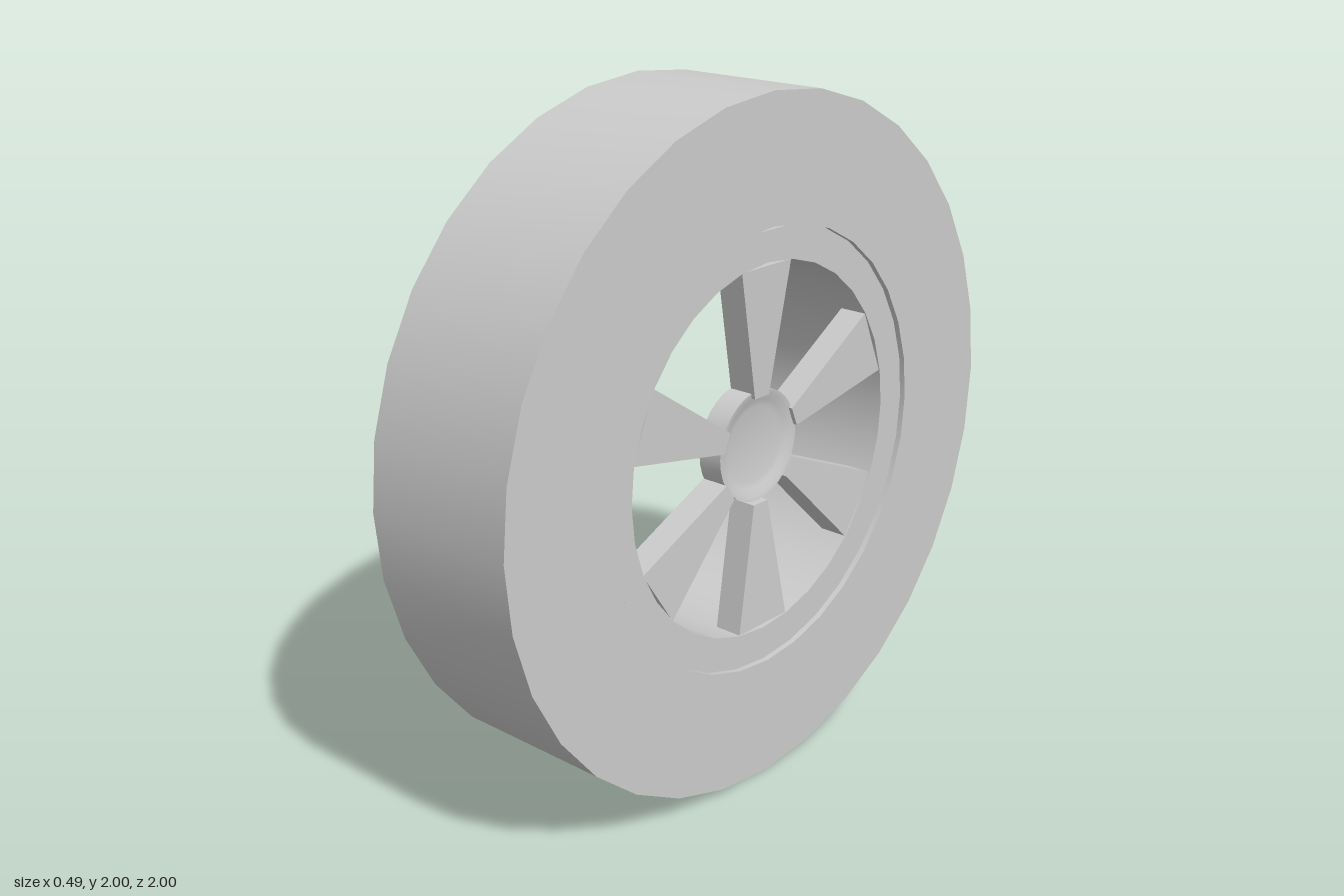
import * as THREE from 'three';
import { toCreasedNormals } from 'three/addons/utils/BufferGeometryUtils.js';

const SIDES = 32;
const STEP = (Math.PI * 2) / SIDES;
// Corner numbers of the 32-sided rim where the six spokes sit
const SPOKES = [8, 13, 18, 24, 30, 3];

// Corners of a regular polygon, leaving out the listed ones
function ringPoints(radius, skip = []) {
  const points = [];
  for (let i = 0; i < SIDES; i++) {
    if (skip.includes(i)) continue;
    points.push(new THREE.Vector2(radius * Math.cos(i * STEP), radius * Math.sin(i * STEP)));
  }
  return points;
}

// Extrude a shape sideways between x0 and x1
function extrudeX(shape, x0, x1) {
  const geo = new THREE.ExtrudeGeometry(shape, { depth: x1 - x0, bevelEnabled: false });
  geo.translate(0, 0, x0);
  geo.rotateY(Math.PI / 2);
  return geo;
}

function ring(outer, inner, x0, x1) {
  const shape = new THREE.Shape(outer);
  shape.holes.push(new THREE.Path(inner));
  return toCreasedNormals(extrudeX(shape, x0, x1), 0.6);
}

export function createModel() {
  const group = new THREE.Group();
  const material = new THREE.MeshStandardMaterial({ color: 0xcccccc });

  function add(geo, name, y = 1) {
    const mesh = new THREE.Mesh(geo, material);
    mesh.name = name;
    mesh.position.y = y;
    group.add(mesh);
    return mesh;
  }

  // Tyre: wide smooth ring with flat side walls
  add(ring(ringPoints(1), ringPoints(0.64), -0.243, 0.243), 'tyre');

  // Rim: slightly recessed, with three flattened outer corners
  add(ring(ringPoints(0.64, [8, 13, 18]), ringPoints(0.54), -0.215, 0.226), 'rim');

  // Spokes: wedges widening outwards, leaning in towards the hub
  const rIn = 0.157, rOut = 0.53;
  const wedge = new THREE.Shape([
    new THREE.Vector2(rIn, -0.03),
    new THREE.Vector2(rOut, -0.103),
    new THREE.Vector2(rOut, 0.103),
    new THREE.Vector2(rIn, 0.03),
  ]);
  const spokeGeo = extrudeX(wedge, 0.138, 0.223);
  const pos = spokeGeo.attributes.position;
  for (let i = 0; i < pos.count; i++) {
    const inward = (rOut + pos.getZ(i)) / (rOut - rIn);
    pos.setX(i, pos.getX(i) - 0.012 * inward);
  }
  spokeGeo.computeVertexNormals();
  SPOKES.forEach((corner, i) => {
    add(spokeGeo, `spoke${i + 1}`).rotation.x = -corner * STEP;
  });

  // Hub: short drum with a shallow dish in its outer face
  const profile = [
    [0, 0.125], [0.163, 0.125], [0.163, 0.2], [0.15, 0.198],
    [0.13, 0.189], [0.11, 0.184], [0, 0.184],
  ].map(([r, x]) => new THREE.Vector2(r, x));
  const hubGeo = toCreasedNormals(new THREE.LatheGeometry(profile, SIDES), 0.6);
  hubGeo.rotateZ(-Math.PI / 2);
  add(hubGeo, 'hub', 1.012);

  return group;
}
